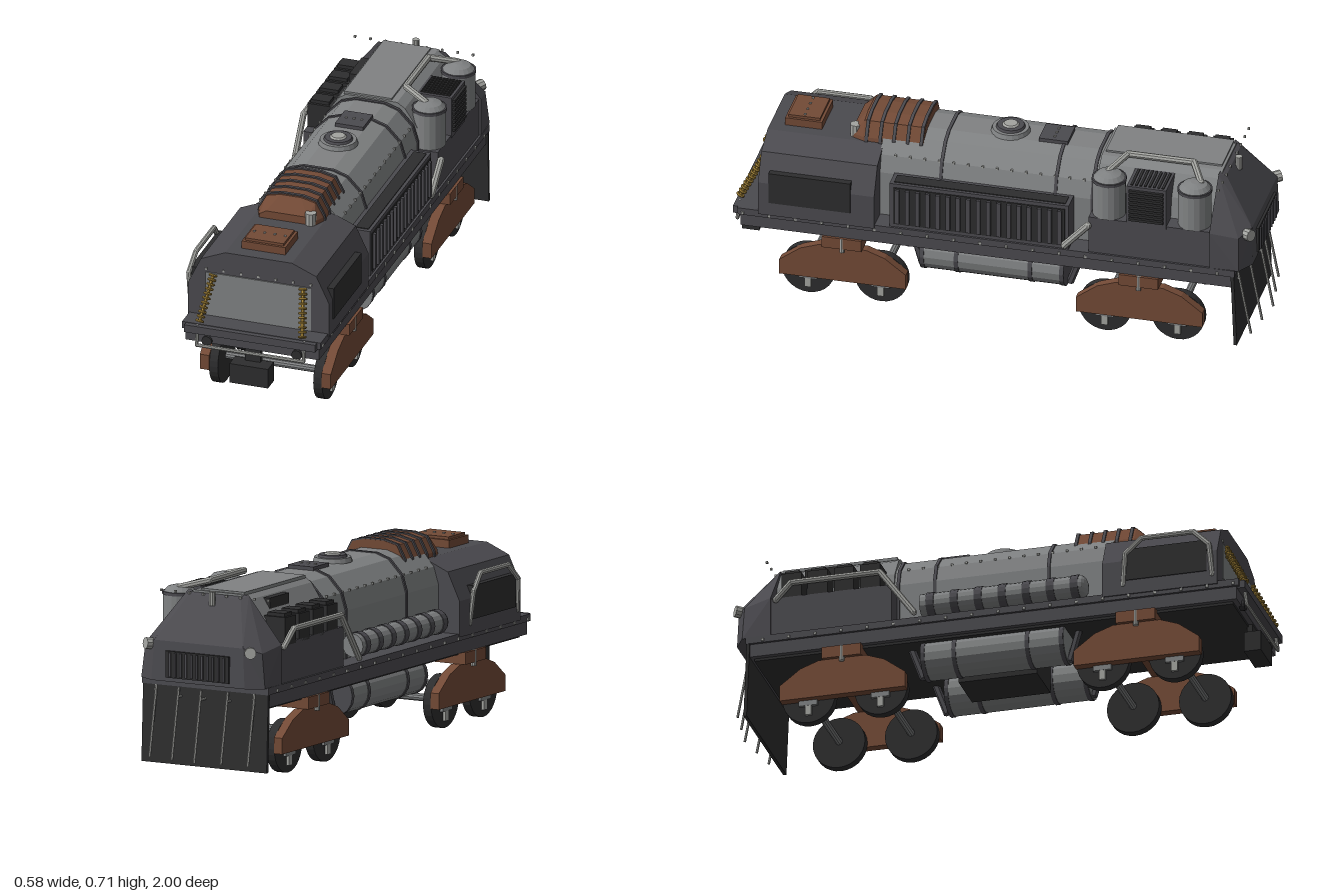
import * as THREE from 'three';
import { mergeGeometries } from 'three/addons/utils/BufferGeometryUtils.js';
import { ConvexGeometry } from 'three/addons/geometries/ConvexGeometry.js';

const material = (name, color) => {
  const m = new THREE.MeshStandardMaterial({ color });
  m.name = name;
  return m;
};

export function createModel() {
  const root = new THREE.Group();
  root.name = 'locomotive';
  const charcoal = material('charcoal', 0x4b4a4f), grey = material('steel grey', 0x808283);
  const brown = material('rust brown', 0x734a36), black = material('soot black', 0x2d2d2e);
  const light = material('light steel', 0xa3a4a0), gold = material('brass', 0xa8873a);
  const V = (x, y, z) => new THREE.Vector3(x, y, z);

  // Faceted mesh helper
  const add = (name, geo, mat) => {
    const g = geo.index ? geo.toNonIndexed() : geo;
    g.computeVertexNormals();
    const mesh = new THREE.Mesh(g, mat);
    mesh.name = name;
    root.add(mesh);
    return mesh;
  };
  // Box given by its limits
  const boxGeo = (x0, x1, y0, y1, z0, z1) =>
    new THREE.BoxGeometry(x1 - x0, y1 - y0, z1 - z0).translate((x0 + x1) / 2, (y0 + y1) / 2, (z0 + z1) / 2);
  const box = (name, mat, ...limits) => add(name, boxGeo(...limits), mat);
  // Cylinder between two points
  const rodGeo = (a, b, r, sides = 12) => {
    const d = b.clone().sub(a);
    const q = new THREE.Quaternion().setFromUnitVectors(V(0, 1, 0), d.clone().normalize());
    const c = a.clone().add(b).multiplyScalar(0.5);
    return new THREE.CylinderGeometry(r, r, d.length(), sides).applyQuaternion(q).translate(c.x, c.y, c.z);
  };
  const rod = (name, mat, a, b, r, sides) => add(name, rodGeo(a, b, r, sides), mat);
  // Bent pipe with tight corners
  const pipe = (name, pts, r, mat = light) => {
    const parts = [];
    for (let i = 1; i < pts.length; i++) parts.push(rodGeo(pts[i - 1], pts[i], r, 8));
    for (const p of pts) parts.push(new THREE.SphereGeometry(r, 8, 6).translate(p.x, p.y, p.z));
    return add(name, mergeGeometries(parts), mat);
  };
  // Mirrored half profile [x, y], bottom to top, run along z
  const prism = (name, mat, half, z0, z1) => {
    const pts = [...half, ...half.slice().reverse().map(([x, y]) => [-x, y])].map(p => new THREE.Vector2(...p));
    const g = new THREE.ExtrudeGeometry(new THREE.Shape(pts), { depth: z1 - z0, bevelEnabled: false });
    return add(name, g.translate(0, 0, z0), mat);
  };
  const rivets = [];
  const rivet = (x, y, z, s = 0.008) => rivets.push(new THREE.BoxGeometry(s, s, s).translate(x, y, z));

  // Chassis and deck
  box('chassis', charcoal, -0.26, 0.26, 0.275, 0.325, -0.905, 0.96);
  box('chassisUnderside', black, -0.24, 0.24, 0.265, 0.276, -0.89, 0.94);
  box('deckLip', charcoal, -0.27, 0.27, 0.325, 0.352, -0.915, 0.97);
  box('frontBumper', charcoal, -0.255, 0.255, 0.32, 0.35, 0.95, 0.99);
  for (const s of [-1, 1])
    for (let z = -0.85; z < 0.95; z += 0.1) rivet(s * 0.27, 0.334, z, 0.01);

  // Front cab
  const cab = [[0.275, 0.34], [0.275, 0.475], [0.225, 0.58], [0.13, 0.62]];
  prism('cab', charcoal, cab, 0.45, 0.89);
  box('windshield', grey, -0.205, 0.205, 0.39, 0.53, 0.888, 0.895);
  box('frontLowerPanel', grey, -0.205, 0.205, 0.353, 0.389, 0.888, 0.892);
  for (let i = -3; i <= 3; i++) rivet(i * 0.068, 0.543, 0.89);
  for (const s of [-1, 1]) {
    box('sideWindow', black, s * 0.262 - 0.017, s * 0.262 + 0.017, 0.395, 0.52, 0.54, 0.85);
    // Coil springs ahead of the windshield
    const a = V(s * 0.175, 0.522, 0.895), b = V(s * 0.2, 0.368, 0.975);
    const q = new THREE.Quaternion().setFromUnitVectors(V(0, 0, 1), b.clone().sub(a).normalize());
    const coils = [rodGeo(a, b, 0.007, 6)];
    for (let i = 0; i <= 10; i++) {
      const p = a.clone().lerp(b, i / 10);
      coils.push(new THREE.TorusGeometry(0.012, 0.005, 6, 10).applyQuaternion(q).translate(p.x, p.y, p.z));
    }
    add('coilSpring', mergeGeometries(coils), gold);
    add('bumperStop', new THREE.CylinderGeometry(0.02, 0.02, 0.02, 12).rotateX(Math.PI / 2).translate(s * 0.175, 0.285, 0.96), black);
  }
  pipe('windowRail', [V(-0.27, 0.38, 0.53), V(-0.282, 0.5, 0.54), V(-0.275, 0.56, 0.6), V(-0.275, 0.56, 0.8), V(-0.282, 0.5, 0.86), V(-0.27, 0.38, 0.87)], 0.01);
  pipe('frontRail', [V(-0.208, 0.345, 0.975), V(-0.208, 0.272, 0.985), V(0.208, 0.272, 0.985), V(0.208, 0.345, 0.975)], 0.007);
  box('coupler', black, -0.075, 0.075, 0.147, 0.225, 0.935, 1);
  box('couplerHanger', black, -0.03, 0.03, 0.22, 0.28, 0.935, 0.955);

  // Roof box and ribbed cover
  box('roofBox', brown, -0.085, 0.085, 0.615, 0.65, 0.695, 0.835);
  box('roofBoxLid', brown, -0.075, 0.075, 0.65, 0.66, 0.705, 0.825);
  for (const x of [-0.06, -0.02, 0.02, 0.06]) rivet(x, 0.66, 0.765);
  const hump = [[0.13, 0.6], [0.125, 0.635], [0.095, 0.69], [0.04, 0.703]];
  prism('ribbedCover', brown, hump, 0.3, 0.53);
  const end = [];
  for (const s of [-1, 1]) for (const [x, y] of hump)
    end.push(V(s * x, y, 0.53), V(s * x * 0.85, Math.min(y, 0.65), 0.575));
  add('coverEnd', new ConvexGeometry(end), brown);
  for (let i = 0; i < 5; i++)
    prism('coverRib', charcoal, hump.map(([x, y]) => [x + 0.004, y + 0.005]), 0.302 + i * 0.052, 0.314 + i * 0.052);
  add('ventStub', new THREE.CylinderGeometry(0.021, 0.021, 0.06, 10).translate(0.09, 0.637, 0.565), light);

  // Boiler with bands, cap and hatch
  const boiler = [[0.185, 0.34], [0.185, 0.53], [0.165, 0.595], [0.11, 0.652], [0.055, 0.67]];
  prism('boiler', grey, boiler, -0.37, 0.455);
  for (const z of [-0.355, -0.215, 0.22])
    prism('boilerBand', charcoal, boiler.map(([x, y]) => [x + 0.004, y + 0.004]), z - 0.006, z + 0.006);
  for (const s of [-1, 1])
    for (let z = -0.32; z < 0.44; z += 0.055) rivet(s * 0.165, 0.597, z);
  add('fillerBase', new THREE.CylinderGeometry(0.068, 0.074, 0.018, 20).translate(0, 0.677, 0), grey);
  add('fillerRing', new THREE.CylinderGeometry(0.05, 0.055, 0.01, 20).translate(0, 0.69, 0), charcoal);
  add('fillerCap', new THREE.CylinderGeometry(0.025, 0.04, 0.014, 16).translate(0, 0.694, 0), light);
  box('hatch', charcoal, -0.055, 0.055, 0.665, 0.684, -0.23, -0.12);
  for (const x of [-0.03, 0, 0.03]) rivet(x, 0.684, -0.175);

  // Left radiator with vertical louvres
  box('radiator', charcoal, 0.18, 0.262, 0.35, 0.535, -0.285, 0.395);
  box('radiatorCore', black, 0.255, 0.265, 0.365, 0.52, -0.27, 0.38);
  for (let i = 0; i < 17; i++) {
    const z = -0.252 + i * 0.0385;
    box('louvre', charcoal, 0.262, 0.275, 0.372, 0.515, z - 0.008, z + 0.008);
  }
  box('radiatorTopSlot', black, 0.2, 0.25, 0.533, 0.538, -0.27, 0.38);

  // Right long tank with bands
  rod('sideTank', grey, V(-0.235, 0.41, -0.25), V(-0.235, 0.41, 0.36), 0.044, 16);
  add('sideTankNose', new THREE.SphereGeometry(0.044, 16, 8).scale(1, 1, 0.6).translate(-0.235, 0.41, 0.36), grey);
  for (let i = 0; i < 7; i++) rod('sideTankBand', charcoal, V(-0.235, 0.41, -0.225 + i * 0.092), V(-0.235, 0.41, -0.195 + i * 0.092), 0.047, 16);

  // Rear housing
  box('rearHousing', charcoal, -0.262, 0.262, 0.35, 0.5, -0.83, -0.36);
  prism('rearHood', grey, [[0.2, 0.48], [0.18, 0.58], [0.13, 0.655], [0.1, 0.675]], -0.83, -0.37);
  box('hoodRidge', grey, -0.11, 0.075, 0.67, 0.682, -0.82, -0.38);
  for (let i = 0; i < 4; i++) {
    const z = -0.742 + i * 0.1;
    box('batteryBox', black, -0.262, -0.17, 0.49, 0.595, z - 0.038, z + 0.038);
    box('batteryLid', black, -0.252, -0.18, 0.595, 0.608, z - 0.028, z + 0.028);
  }
  box('hoodVent', black, -0.16, -0.13, 0.6, 0.65, -0.72, -0.58);
  for (const z of [-0.75, -0.425]) {
    const tank = [[0, 0.5], [0.062, 0.5], [0.062, 0.648], [0.045, 0.667], [0.015, 0.675], [0, 0.675]];
    add('uprightTank', new THREE.LatheGeometry(tank.map(p => new THREE.Vector2(...p)), 18).translate(0.207, 0, z), grey);
    add('uprightTankBand', new THREE.CylinderGeometry(0.065, 0.065, 0.012, 18).translate(0.207, 0.645, z), charcoal);
  }
  box('ventBox', charcoal, 0.13, 0.265, 0.49, 0.655, -0.655, -0.505);
  for (let i = 0; i < 8; i++) {
    box('ventSlat', black, 0.26, 0.275, 0.513 + i * 0.017, 0.523 + i * 0.017, -0.645, -0.515);
    box('ventTopSlat', black, 0.14, 0.255, 0.653, 0.659, -0.645 + i * 0.017, -0.636 + i * 0.017);
  }
  pipe('tankPipe', [V(0.195, 0.668, -0.77), V(0.1, 0.693, -0.72), V(0.1, 0.693, -0.47), V(0.195, 0.668, -0.42)], 0.013);
  pipe('leftDownPipe', [V(0.268, 0.37, -0.27), V(0.274, 0.47, -0.36)], 0.014);
  pipe('rightDownPipe', [V(-0.27, 0.49, -0.8), V(-0.275, 0.55, -0.74), V(-0.275, 0.55, -0.4), V(-0.275, 0.37, -0.27)], 0.012);

  // Rear nose, grille and lamps
  const nose = [];
  for (const s of [-1, 1])
    nose.push(V(s * 0.27, 0.35, -0.82), V(s * 0.27, 0.5, -0.82), V(s * 0.13, 0.672, -0.82), V(s * 0.265, 0.35, -0.93),
      V(s * 0.25, 0.48, -0.925), V(s * 0.2, 0.35, -0.968), V(s * 0.19, 0.5, -0.963), V(s * 0.11, 0.66, -0.845));
  add('rearNose', new ConvexGeometry(nose), charcoal);
  box('noseGrille', black, -0.135, 0.135, 0.365, 0.465, -0.974, -0.95);
  for (let i = -5; i <= 5; i++) box('noseGrilleBar', charcoal, i * 0.023 - 0.004, i * 0.023 + 0.004, 0.37, 0.46, -0.98, -0.97);
  for (const s of [-1, 1]) {
    rod('noseLamp', light, V(s * 0.2, 0.48, -0.93), V(s * 0.225, 0.485, -0.968), 0.022, 10);
    for (let i = 0; i < 4; i++) rivet(s * (0.05 + i * 0.06), 0.665, -0.845);
  }
  rod('topLamp', light, V(0, 0.63, -0.865), V(0, 0.682, -0.865), 0.013, 10);

  // Plough with guard bars
  const plough = [];
  for (const s of [-1, 1]) for (const d of [0, 0.012])
    plough.push(V(s * 0.268, 0.33, -0.9 - d), V(s * 0.268, 0.035, -0.912 - d));
  add('plough', new ConvexGeometry(plough), black);
  for (let i = -2; i <= 2; i++) {
    const dz = Math.abs(i) * 0.016;
    rod('guardBar', light, V(i * 0.105, 0.325, -0.945 + dz), V(i * 0.105, 0.06, -0.995 + dz), 0.005, 6);
    rod('guardBarStay', light, V(i * 0.105, 0.29, -0.9), V(i * 0.105, 0.29, -0.95 + dz), 0.005, 6);
  }

  // Underslung tanks, brackets and centre box
  for (const s of [-1, 1]) {
    rod('underTank', grey, V(s * 0.16, 0.22, -0.25), V(s * 0.16, 0.22, 0.29), 0.075, 16);
    for (const z of [-0.25, -0.13, 0.15, 0.28]) rod('underTankBand', charcoal, V(s * 0.16, 0.22, z - 0.008), V(s * 0.16, 0.22, z + 0.008), 0.078, 16);
    for (const [z0, z1] of [[0.33, 0.295], [-0.31, -0.265]])
      rod('tankBracket', charcoal, V(s * 0.16, 0.275, z0), V(s * 0.16, 0.15, z1), 0.014, 6);
  }
  box('underBox', black, -0.095, 0.085, 0.15, 0.27, -0.15, 0.15);

  // Bogies
  const frame = [[0.24, 0.085], [0.24, 0.145], [0.16, 0.205], [0.09, 0.23]];
  for (const z of [0.575, -0.55]) {
    box('bolster', brown, -0.27, 0.27, 0.23, 0.275, z - 0.075, z + 0.075);
    add('pivot', new THREE.CylinderGeometry(0.04, 0.04, 0.08, 12).translate(0, 0.24, z), grey);
    for (const s of [-1, 1]) {
      const side = prism('bogieFrame', brown, frame, -0.018, 0.018);
      side.rotation.y = Math.PI / 2;
      side.position.set(s * 0.237, 0, z);
      rod('pivotPin', light, V(s * 0.262, 0.215, z), V(s * 0.262, 0.275, z), 0.01, 8);
    }
    for (const dz of [-0.138, 0.138]) {
      rod('axle', grey, V(-0.2, 0.105, z + dz), V(0.2, 0.105, z + dz), 0.014, 10);
      for (const s of [-1, 1]) {
        rod('wheel', black, V(s * 0.186, 0.1, z + dz), V(s * 0.22, 0.1, z + dz), 0.1, 28);
        box('axleBox', light, s * 0.225 - 0.006, s * 0.225 + 0.006, 0.028, 0.09, z + dz - 0.012, z + dz + 0.012);
        box('axleBoxCap', grey, s * 0.225 - 0.007, s * 0.225 + 0.007, 0.065, 0.086, z + dz - 0.035, z + dz + 0.035);
      }
    }
  }

  add('rivets', mergeGeometries(rivets), light);
  return root;
}
